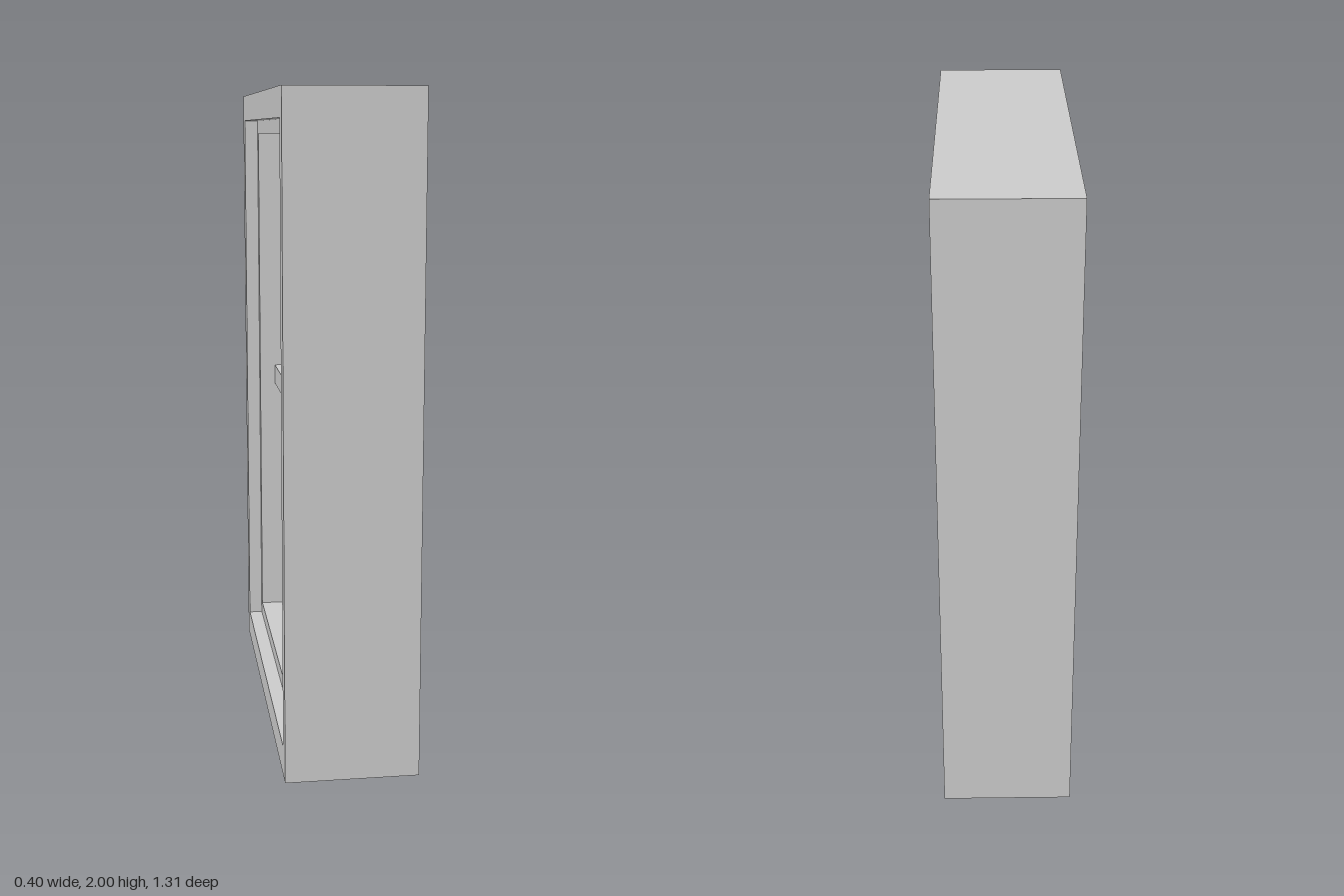
import * as THREE from 'three';

// Thin shell through rectangular rings [x, zBack, zFront, yBottom, yTop]
function ringShell(rings) {
  const corners = rings.map(([x, z0, z1, y0, y1]) =>
    [[x, y0, z0], [x, y0, z1], [x, y1, z1], [x, y1, z0]]);
  const pos = [];
  for (let i = 0; i < corners.length - 1; i++) {
    for (let k = 0; k < 4; k++) {
      const n = (k + 1) % 4;
      const a = corners[i][k], b = corners[i][n];
      const c = corners[i + 1][n], d = corners[i + 1][k];
      pos.push(...a, ...d, ...c, ...a, ...c, ...b);
    }
  }
  const geo = new THREE.BufferGeometry();
  geo.setAttribute('position', new THREE.Float32BufferAttribute(pos, 3));
  geo.computeVertexNormals();
  return geo;
}

export function createModel() {
  const group = new THREE.Group();
  group.name = 'window';
  const grey = new THREE.MeshStandardMaterial({ color: 0xcccccc, side: THREE.DoubleSide });
  grey.name = 'light grey';

  const add = (name, geo) => {
    const mesh = new THREE.Mesh(geo, grey);
    mesh.name = name;
    group.add(mesh);
  };

  // Outer casing, open towards +x, with a flat rim on the -x side
  const outer = [-0.655, 0.655, 0, 2];
  const opening = [-0.595, 0.6, 0.09, 1.915];
  const glazing = [-0.565, 0.57, 0.135, 1.87];
  add('casing', ringShell([[0.2, ...outer], [-0.2, ...outer], [-0.2, ...opening]]));

  // Stepped reveal running back into the casing
  add('sash', ringShell([
    [-0.2, ...opening], [-0.155, ...opening],
    [-0.155, ...glazing], [-0.05, ...glazing],
  ]));

  // Crossed glazing bars, drawn as one plus shape in (-z, y)
  const [l, r, a, b] = [-0.595, 0.62, -0.02, 0.05];
  const [bottom, top, c, d] = [0.085, 1.935, 0.975, 1.042];
  const plus = new THREE.Shape([
    [a, bottom], [b, bottom], [b, c], [r, c], [r, d], [b, d],
    [b, top], [a, top], [a, d], [l, d], [l, c], [a, c],
  ].map(p => new THREE.Vector2(...p)));
  const bars = new THREE.ExtrudeGeometry(plus, { depth: 0.067, bevelEnabled: false });
  bars.rotateY(Math.PI / 2);
  bars.translate(-0.102, 0, 0);
  add('glazingBars', bars);

  return group;
}
